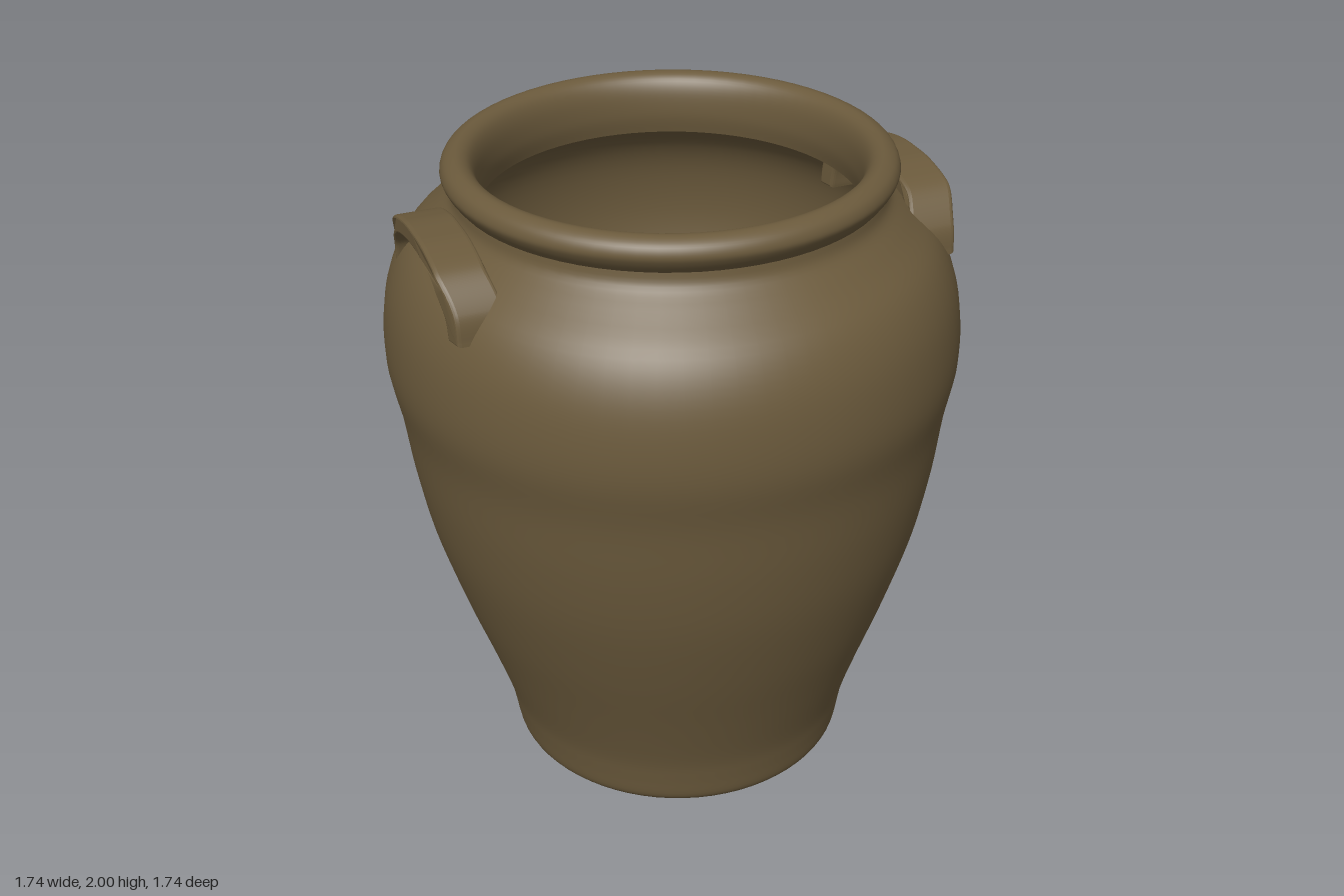
import * as THREE from 'three';

const clay = new THREE.MeshStandardMaterial({ color: 0x6b5a3c });
clay.name = 'brown clay';
const soot = new THREE.MeshStandardMaterial({ color: 0x060606 });
soot.name = 'black base';

const SEGMENTS = 72;

// The pot was thrown slightly off true: the axis leans back and the rim tips.
function lean(geometry) {
  const p = geometry.attributes.position;
  for (let i = 0; i < p.count; i++) {
    const y = p.getY(i), z = p.getZ(i);
    const tip = THREE.MathUtils.smoothstep(y, 1.7, 1.95);
    p.setY(i, y + 0.014 * tip * z);
    p.setZ(i, z + 0.045 - 0.032 * y);
  }
  return geometry;
}

function lathe(name, points, divisions) {
  const curve = new THREE.SplineCurve(points.map(([r, y]) => new THREE.Vector2(r, y)));
  const profile = curve.getPoints(divisions);
  const mesh = new THREE.Mesh(lean(new THREE.LatheGeometry(profile, SEGMENTS)), clay);
  mesh.name = name;
  return mesh;
}

// Flat arched strap, extruded sideways out of the shoulder
function handleGeometry() {
  const outer = [[-0.3, 1.67], [-0.285, 1.75], [-0.21, 1.835], [-0.1, 1.868], [0, 1.874],
    [0.1, 1.868], [0.21, 1.835], [0.285, 1.75], [0.3, 1.67]];
  const inner = [[0.262, 1.67], [0.245, 1.745], [0.185, 1.805], [0.09, 1.832], [0, 1.838],
    [-0.09, 1.832], [-0.185, 1.805], [-0.245, 1.745], [-0.262, 1.67]];
  const vec = (list) => list.map(([x, y]) => new THREE.Vector2(x, y));
  const shape = new THREE.Shape();
  shape.moveTo(...outer[0]);
  shape.splineThru(vec(outer.slice(1)));
  shape.lineTo(...inner[0]);
  shape.splineThru(vec(inner.slice(1)));
  shape.closePath();
  const g = new THREE.ExtrudeGeometry(shape, {
    depth: 0.12, curveSegments: 24, bevelEnabled: true,
    bevelThickness: 0.012, bevelSize: 0.008, bevelSegments: 3,
  });
  g.rotateY(Math.PI / 2);
  g.translate(0.66, 0, 0.035);
  // Draw the feet of the strap in towards the shoulder
  const p = g.attributes.position;
  for (let i = 0; i < p.count; i++) {
    const foot = THREE.MathUtils.smoothstep(Math.abs(p.getZ(i) - 0.035), 0.2, 0.31);
    p.setX(i, p.getX(i) - 0.025 * foot);
  }
  g.computeVertexNormals();
  return g;
}

export function createModel() {
  const pot = new THREE.Group();
  pot.name = 'pot';

  // Outer wall, from foot to neck
  pot.add(lathe('outerWall', [
    [0.515, 0.005], [0.532, 0.03], [0.545, 0.1], [0.565, 0.19], [0.622, 0.36], [0.697, 0.57],
    [0.768, 0.8], [0.81, 1.0], [0.838, 1.2], [0.869, 1.36], [0.867, 1.5], [0.842, 1.62],
    [0.79, 1.72], [0.705, 1.8], [0.652, 1.85], [0.64, 1.89],
  ], 64));

  // Rolled rim and inside of the neck
  pot.add(lathe('rim', [
    [0.64, 1.89], [0.662, 1.918], [0.672, 1.945], [0.658, 1.975], [0.622, 1.991],
    [0.587, 1.975], [0.567, 1.93], [0.562, 1.86], [0.572, 1.8],
  ], 40));

  // Hollow inside with its floor
  pot.add(lathe('innerWall', [
    [0.572, 1.8], [0.64, 1.765], [0.73, 1.7], [0.79, 1.58], [0.81, 1.4], [0.78, 1.2],
    [0.75, 1.0], [0.705, 0.8], [0.635, 0.57], [0.565, 0.36], [0.52, 0.19], [0.5, 0.08],
  ], 48));
  const floor = new THREE.Mesh(new THREE.CircleGeometry(0.503, SEGMENTS), clay);
  floor.geometry.rotateX(-Math.PI / 2).translate(0, 0.08, 0);
  lean(floor.geometry);
  floor.name = 'innerFloor';
  pot.add(floor);

  // Underside
  const base = new THREE.Mesh(new THREE.CircleGeometry(0.516, SEGMENTS), soot);
  base.geometry.rotateX(Math.PI / 2).translate(0, 0.004, 0);
  lean(base.geometry);
  base.name = 'base';
  pot.add(base);

  // A strap handle on each shoulder
  const strap = handleGeometry();
  for (const side of [1, -1]) {
    const handle = new THREE.Mesh(strap, clay);
    handle.name = side > 0 ? 'leftHandle' : 'rightHandle';
    if (side < 0) {
      handle.rotation.y = Math.PI;
      handle.position.set(-0.01, 0, 0.075);
    }
    pot.add(handle);
  }
  return pot;
}
